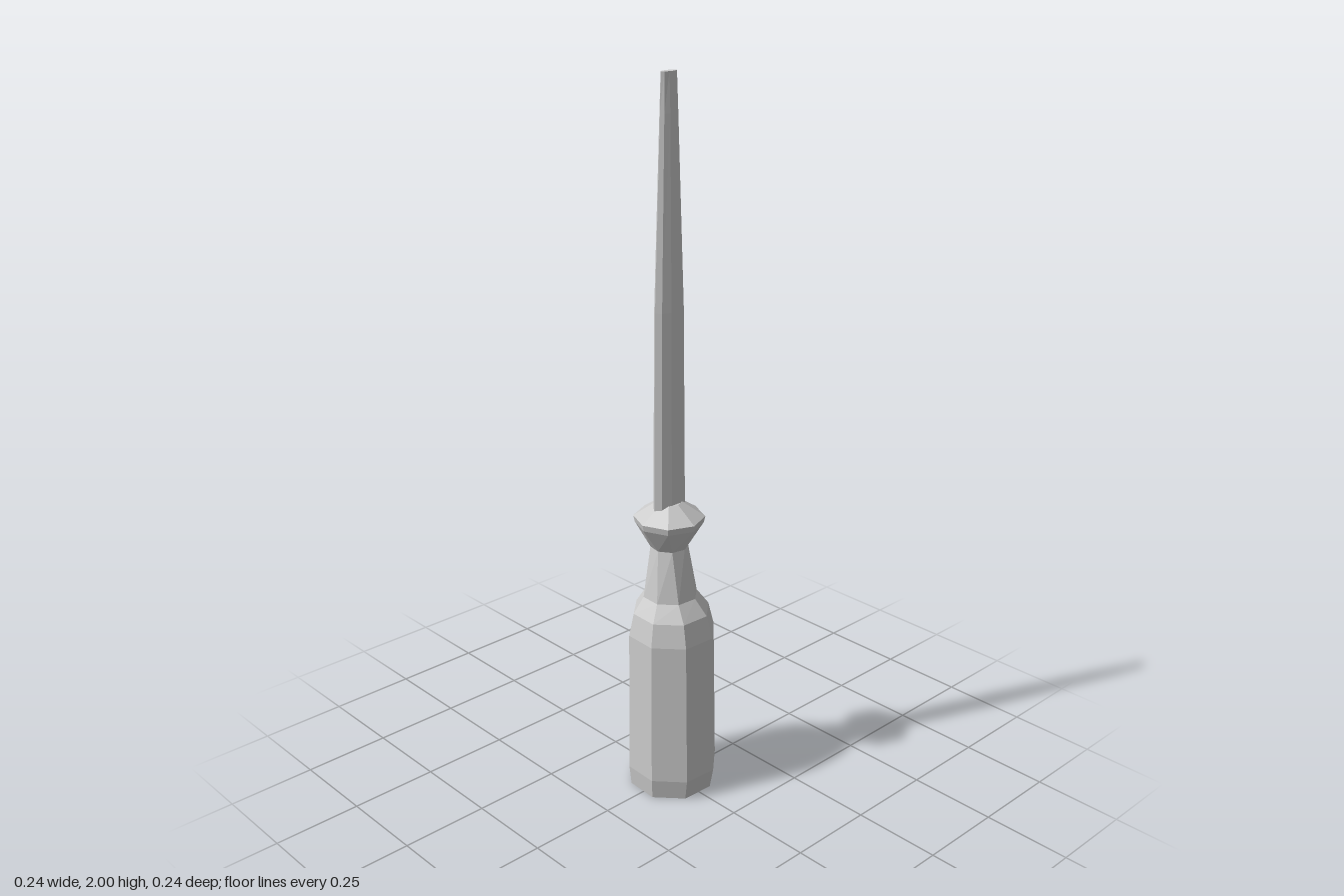
import * as THREE from 'three';

const AXIS_X = -0.013; // the blade and collar sit slightly off the grip's centre

// Closed faceted solid through a stack of rings, each an array of [x, y, z]
function loft(name, rings) {
  const n = rings[0].length;
  const pos = rings.flat(2);
  const index = [];
  for (let r = 0; r < rings.length - 1; r++) {
    for (let i = 0; i < n; i++) {
      const a = r * n + i, b = r * n + (i + 1) % n;
      index.push(a, a + n, b, b, a + n, b + n);
    }
  }
  // End caps
  const top = (rings.length - 1) * n;
  for (let i = 1; i < n - 1; i++) {
    index.push(0, i, i + 1, top, top + i + 1, top + i);
  }
  const geo = new THREE.BufferGeometry();
  geo.setAttribute('position', new THREE.Float32BufferAttribute(pos, 3));
  geo.setIndex(index);
  const flat = geo.toNonIndexed();
  flat.computeVertexNormals();
  const mesh = new THREE.Mesh(flat, new THREE.MeshStandardMaterial({ color: 0xcccccc, flatShading: true }));
  mesh.name = name;
  return mesh;
}

// Octagonal ring: height, radius, turn in degrees, centre x
function octagon([y, radius, turn, cx]) {
  return Array.from({ length: 8 }, (_, i) => {
    const a = THREE.MathUtils.degToRad(turn + i * 45);
    return [cx + radius * Math.cos(a), y, radius * Math.sin(a)];
  });
}

// Flattened blade section, pointed at its two narrow edges
const BLADE = [[1, -0.3], [1, 0.3], [0.6, 0.78], [0, 1], [-0.6, 0.78],
  [-1, 0.3], [-1, -0.3], [-0.6, -0.78], [0, -1], [0.6, -0.78]];

function bladeRing([y, halfX, halfZ]) {
  return BLADE.map(([x, z]) => [AXIS_X + x * halfX, y, z * halfZ]);
}

export function createModel() {
  const model = new THREE.Group();
  model.name = 'screwdriver';

  // Grip, twisting slightly as it narrows to the neck
  model.add(loft('handle', [
    [0, 0.122, 25, -0.003],
    [0.06, 0.13, 25, 0],
    [0.48, 0.124, 25, -0.003],
    [0.545, 0.109, 25, -0.005],
    [0.59, 0.077, 26, -0.009],
    [0.735, 0.052, 34, AXIS_X],
  ].map(octagon)));

  // Flared collar with a shallow sloping top
  model.add(loft('collar', [
    [0.735, 0.052, 34, AXIS_X],
    [0.805, 0.094, 45, AXIS_X],
    [0.823, 0.098, 45, AXIS_X],
    [0.865, 0.035, 45, AXIS_X],
  ].map(octagon)));

  // Tapering flat blade
  model.add(loft('blade', [
    [0.83, 0.028, 0.055],
    [1.4, 0.025, 0.049],
    [1.9, 0.015, 0.03],
    [2, 0.011, 0.027],
  ].map(bladeRing)));

  return model;
}
